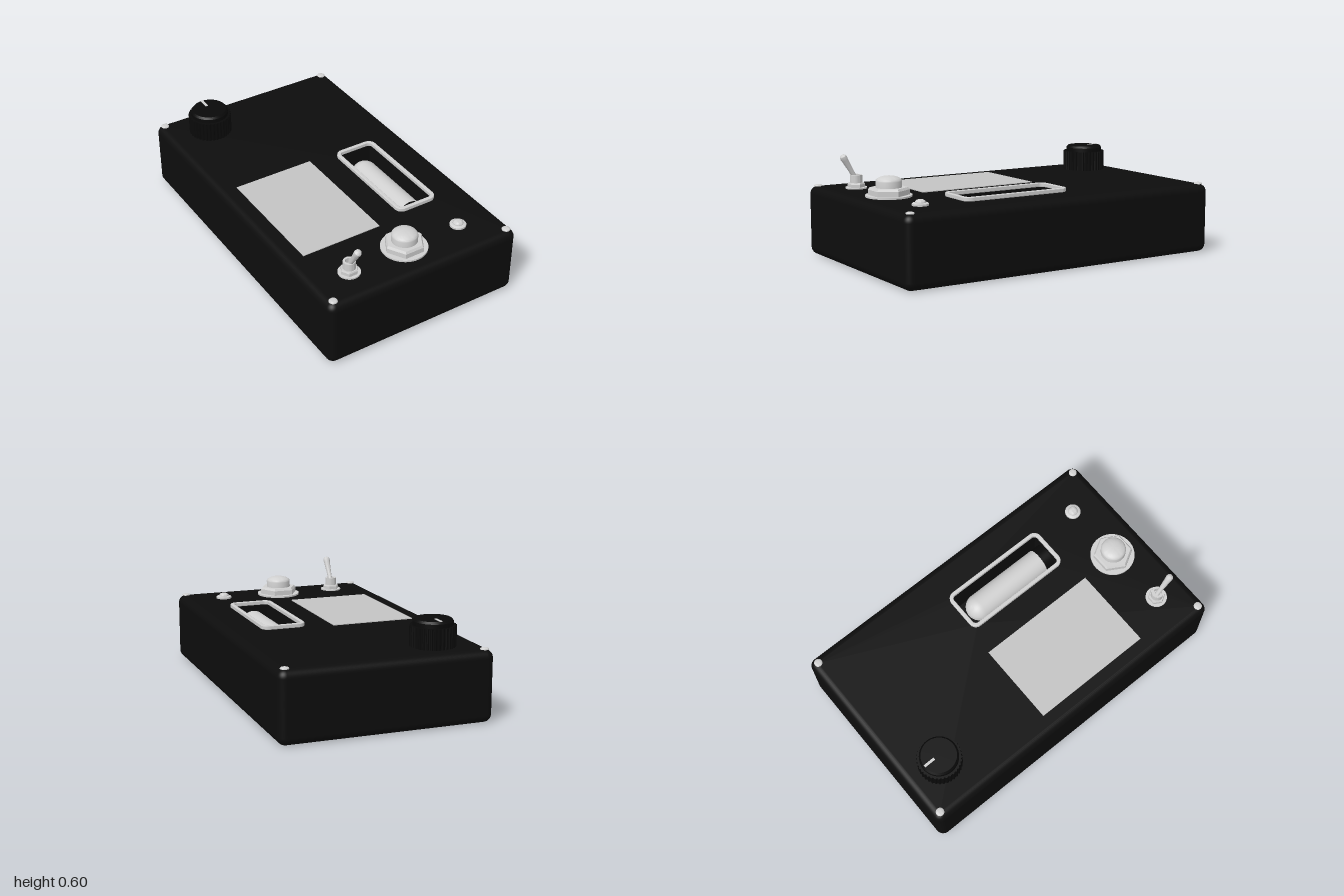
import * as THREE from 'three';
import { RoundedBoxGeometry } from 'three/addons/geometries/RoundedBoxGeometry.js';
import { toCreasedNormals } from 'three/addons/utils/BufferGeometryUtils.js';

const mat = (name, color) => new THREE.MeshStandardMaterial({ name, color });

// Rounded rectangle lying on the lid plane (shape y is -z)
function roundRect(cx, cz, w, d, r, Type = THREE.Shape) {
  const s = new Type(), x = w / 2 - r, y = d / 2 - r, cy = -cz;
  s.absarc(cx + x, cy + y, r, 0, Math.PI / 2);
  s.absarc(cx - x, cy + y, r, Math.PI / 2, Math.PI);
  s.absarc(cx - x, cy - y, r, Math.PI, Math.PI * 1.5);
  s.absarc(cx + x, cy - y, r, Math.PI * 1.5, Math.PI * 2);
  s.closePath();
  return s;
}

export function createModel() {
  const black = mat('black enclosure', 0x0d0d0d);
  const knobBlack = mat('black knob plastic', 0x090909);
  const metal = mat('bright metal', 0xd0d0d0);
  const panel = mat('pale panel', 0xc4c4c4);
  const model = new THREE.Group();
  const TOP = 0.4;

  const add = (name, geo, material, x = 0, y = 0, z = 0, parent = model) => {
    const m = new THREE.Mesh(geo, material);
    m.name = name;
    m.position.set(x, y, z);
    parent.add(m);
    return m;
  };
  const group = (name, x, z) => {
    const g = new THREE.Group();
    g.name = name;
    g.position.set(x, TOP, z);
    model.add(g);
    return g;
  };
  // Turned part from [radius, height] pairs with crisp edges
  const lathe = (pts, seg = 40) => toCreasedNormals(
    new THREE.LatheGeometry(pts.map(p => new THREE.Vector2(...p)), seg), 0.6);
  // Shallow dome profile on a straight wall
  const dome = (r, base, wall, rise, n = 8) => {
    const pts = [[r, base]];
    for (let i = 0; i <= n; i++) {
      const a = i / n * Math.PI / 2;
      pts.push([Math.max(r * Math.cos(a), 0), wall + rise * Math.sin(a)]);
    }
    return pts;
  };
  const hexNut = (r, h) => toCreasedNormals(
    lathe([[r, 0], [r, h * 0.7], [r * 0.92, h], [0, h]], 6).rotateY(Math.PI / 6), 0.3);

  // Enclosure with its flat lid face left out, so a slot can be cut
  const R = 0.045;
  const shell = new RoundedBoxGeometry(1.21, TOP, 2, 5, R);
  const src = shell.attributes, keep = [];
  for (let i = 0; i < src.position.count; i += 3) {
    const flat = [0, 1, 2].every(k => src.position.getY(i + k) > TOP / 2 - 1e-4);
    if (!flat) keep.push(i, i + 1, i + 2);
  }
  shell.setIndex(keep);
  shell.clearGroups();
  add('enclosure', shell, black, 0, TOP / 2);

  const lid = roundRect(0, 0, 1.21 - 2 * R, 2 - 2 * R, 0.001);
  lid.holes.push(roundRect(0.275, 0.195, 0.22, 0.635, 0.03, THREE.Path));
  add('lid', new THREE.ShapeGeometry(lid, 8).rotateX(-Math.PI / 2), black, 0, TOP);

  // Recess: box turned inside out with the top open
  const recess = new THREE.BoxGeometry(0.22, 0.2, 0.635).scale(-1, -1, -1);
  const idx = Array.from(recess.index.array);
  recess.setIndex(idx.filter((v, i) => i < 18 || i > 23));
  recess.clearGroups();
  add('recess', recess, black, 0.275, 0.3, 0.195);

  // Bezel around the recess
  const ring = roundRect(0.275, 0.195, 0.252, 0.664, 0.042);
  ring.holes.push(roundRect(0.275, 0.195, 0.224, 0.636, 0.028, THREE.Path));
  add('bezel', new THREE.ExtrudeGeometry(ring, {
    depth: 0.016, bevelEnabled: true, bevelSize: 0.004, bevelThickness: 0.004,
    bevelSegments: 2, curveSegments: 8,
  }).rotateX(-Math.PI / 2), metal, 0, TOP + 0.004);

  // Tube lying in the recess, domed towards the back, in a dark socket
  const tube = lathe([[0, 0], ...dome(0.08, 0, 0.455, 0.08, 12)]);
  add('tube', tube.rotateX(-Math.PI / 2), metal, 0.275, 0.3, 0.45);
  add('tubeSocket', new THREE.CylinderGeometry(0.08, 0.08, 0.06, 40).rotateX(Math.PI / 2),
    knobBlack, 0.275, 0.3, 0.48);

  // Pale label panel
  add('labelPanel', new THREE.BoxGeometry(0.49, 0.004, 0.73), panel, -0.255, TOP + 0.002, 0.2);

  // Large push button
  const button = group('pushButton', 0, 0.785);
  add('buttonWasher', new THREE.CylinderGeometry(0.13, 0.13, 0.01, 48), metal, 0, 0.005, 0, button);
  add('buttonNut', hexNut(0.115, 0.042), metal, 0, 0.009, 0, button);
  add('buttonCap', lathe(dome(0.073, 0.04, 0.085, 0.03)), metal, 0, 0, 0, button);

  // Toggle switch, lever tipped towards the front
  const toggle = group('toggleSwitch', -0.365, 0.805);
  add('toggleWasher', new THREE.CylinderGeometry(0.062, 0.062, 0.008, 32), metal, 0, 0.004, 0, toggle);
  add('toggleNut', hexNut(0.05, 0.025), metal, 0, 0.008, 0, toggle);
  add('toggleCollar', lathe([[0.035, 0.02], [0.035, 0.078], [0.022, 0.078], [0.022, 0.05], [0, 0.05]]),
    metal, 0, 0, 0, toggle);
  const lever = add('toggleLever', lathe([[0.013, 0], [0.014, 0.06], [0.019, 0.135],
    [0.021, 0.148], [0.019, 0.16], [0.011, 0.168], [0, 0.171]], 20), metal, 0, 0.05, 0, toggle);
  lever.rotation.x = 0.53;

  // Small indicator lamp
  const lamp = group('indicatorLamp', 0.36, 0.785);
  add('lampFlange', lathe([[0.046, 0], [0.046, 0.011], [0.04, 0.015], [0, 0.015]]), metal, 0, 0, 0, lamp);
  add('lampDome', lathe(dome(0.029, 0.012, 0.017, 0.017)), metal, 0, 0, 0, lamp);

  // Corner screws
  for (const x of [-0.56, 0.56]) for (const z of [-0.955, 0.955])
    add('cornerScrew', lathe(dome(0.024, 0, 0.003, 0.008, 5), 20), metal, x, TOP, z);

  // Fluted knob with a pointer line
  const knob = group('knob', -0.34, -0.78);
  const flutes = new THREE.Shape();
  const N = 144;
  for (let i = 0; i < N; i++) {
    const a = i / N * Math.PI * 2, r = i % 4 < 2 ? 0.127 : 0.121;
    flutes[i ? 'lineTo' : 'moveTo'](r * Math.cos(a), r * Math.sin(a));
  }
  flutes.closePath();
  add('knobSkirt', new THREE.ExtrudeGeometry(flutes, { depth: 0.115, bevelEnabled: false })
    .rotateX(-Math.PI / 2), knobBlack, 0, 0, 0, knob);
  add('knobCap', lathe([[0.11, 0.11], [0.11, 0.138], [0.1, 0.15], [0, 0.15]], 48),
    knobBlack, 0, 0, 0, knob);
  add('knobPointer', new THREE.BoxGeometry(0.015, 0.004, 0.068), metal, 0, 0.151, -0.065, knob);

  return model;
}
